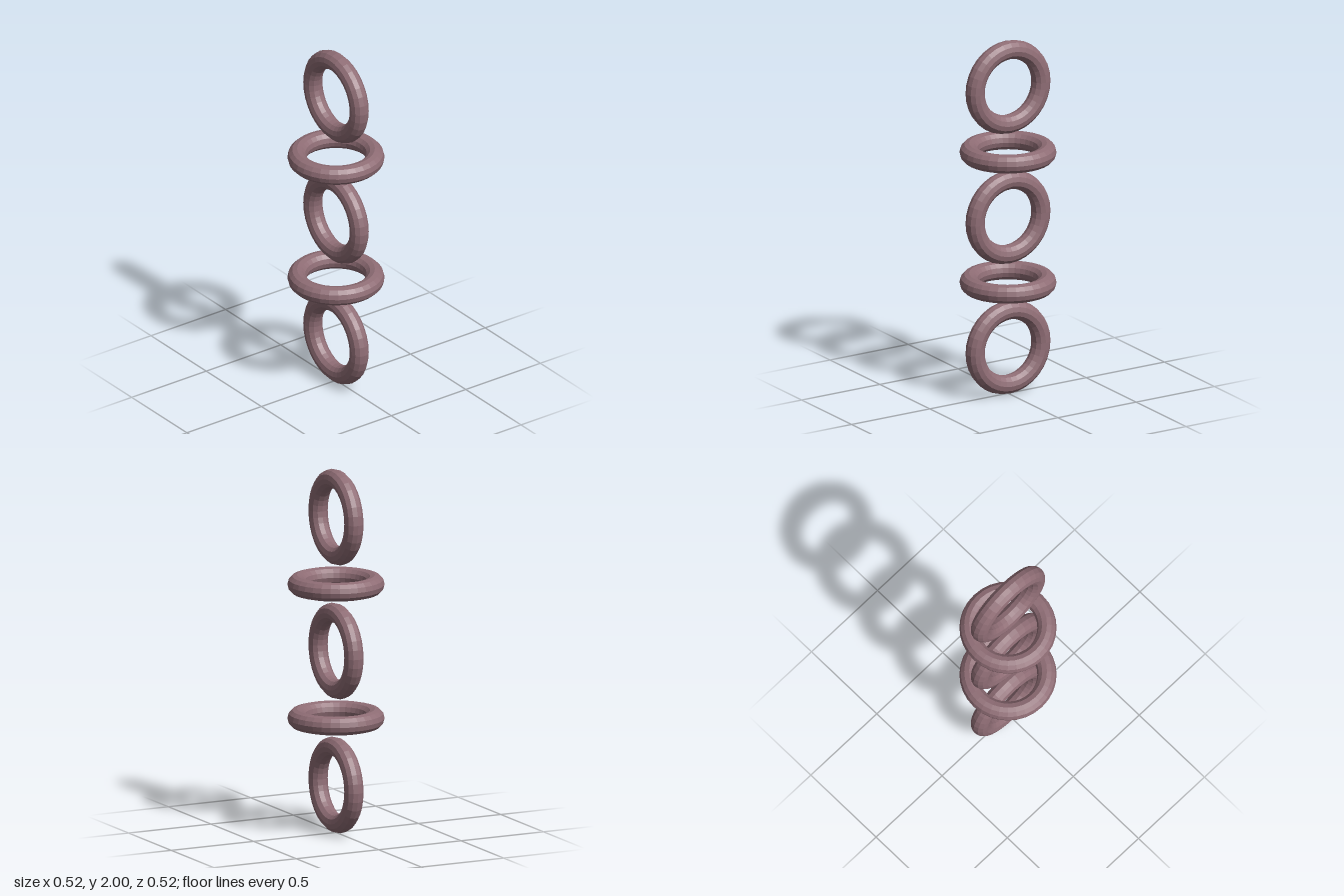
import * as THREE from 'three';

const RING_RADIUS = 0.21;
const TUBE_RADIUS = 0.052;
const SPACING = 0.369;

export function createModel() {
  const model = new THREE.Group();
  model.name = 'ringStack';

  const mauve = new THREE.MeshStandardMaterial({ color: 0x8f6d75 });
  mauve.name = 'dusty mauve';
  mauve.flatShading = true;

  const ringGeometry = new THREE.TorusGeometry(RING_RADIUS, TUBE_RADIUS, 12, 32);

  // Five separate rings, alternately upright and lying flat
  for (let i = 0; i < 5; i++) {
    const flat = i % 2 === 1;
    const ring = new THREE.Mesh(ringGeometry, mauve);
    ring.name = (flat ? 'flatRing' : 'uprightRing') + (i + 1);
    ring.position.y = RING_RADIUS + TUBE_RADIUS + i * SPACING;
    if (flat) ring.rotation.x = Math.PI / 2;
    model.add(ring);
  }
  return model;
}
